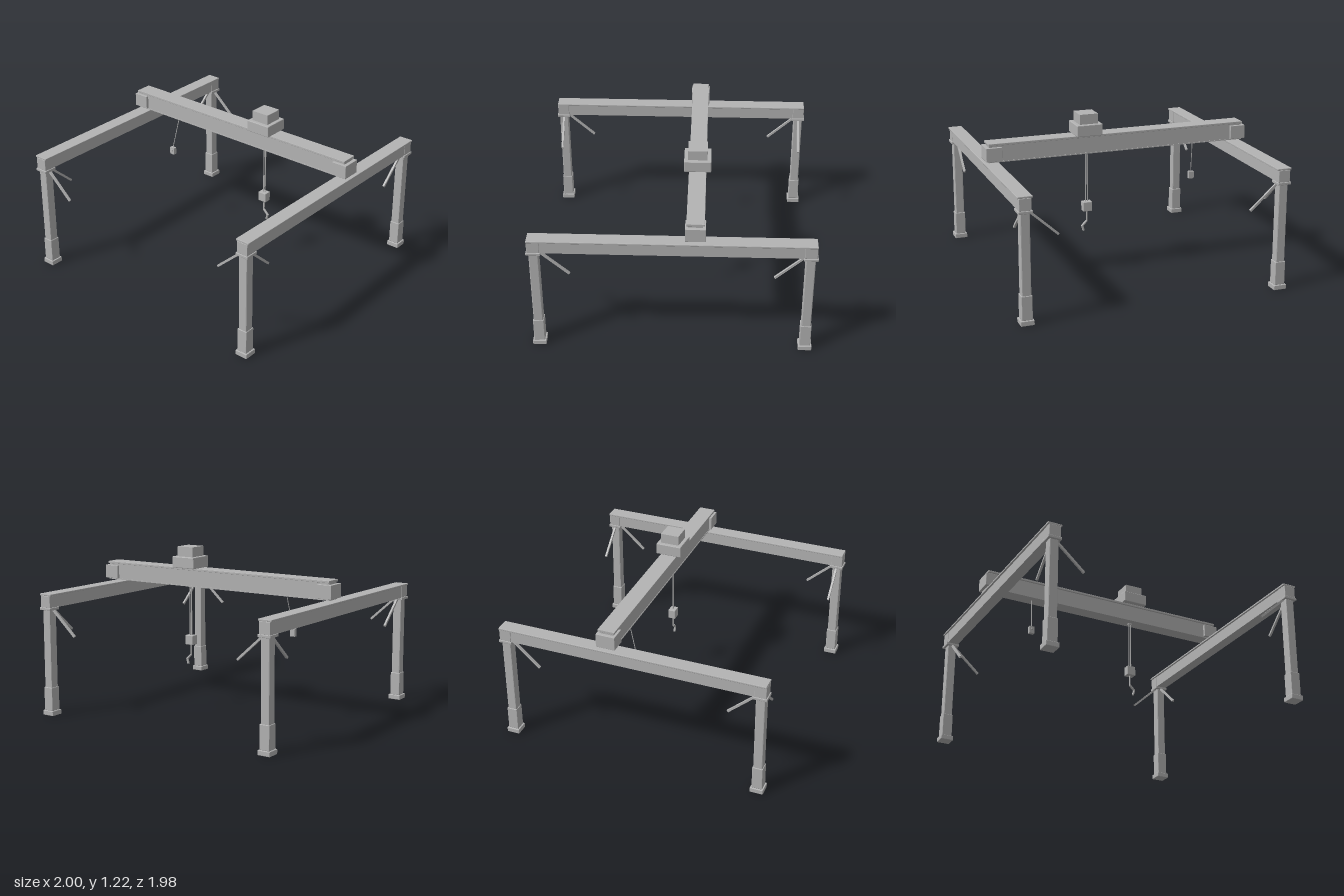
import * as THREE from 'three';
import { RoundedBoxGeometry } from 'three/addons/geometries/RoundedBoxGeometry.js';

const steel = new THREE.MeshStandardMaterial({ color: 0xb3b3b3 });
steel.name = 'steel grey';

// Box with optional chamfered edges
function box(parent, name, size, pos, chamfer = 0) {
  let geo;
  if (chamfer > 0) {
    geo = new RoundedBoxGeometry(...size, 1, chamfer);
    geo.computeVertexNormals();
  } else {
    geo = new THREE.BoxGeometry(...size);
  }
  const mesh = new THREE.Mesh(geo, steel);
  mesh.name = name;
  mesh.position.set(...pos);
  parent.add(mesh);
  return mesh;
}

// Round or square bar between two points
function bar(parent, name, from, to, radius, sides = 8) {
  const a = new THREE.Vector3(...from), b = new THREE.Vector3(...to);
  const dir = b.clone().sub(a);
  const geo = new THREE.CylinderGeometry(radius, radius, dir.length(), sides);
  if (sides === 4) geo.rotateY(Math.PI / 4);
  const mesh = new THREE.Mesh(sides === 4 ? geo.toNonIndexed() : geo, steel);
  if (sides === 4) mesh.geometry.computeVertexNormals();
  mesh.name = name;
  mesh.position.copy(a).add(b).multiplyScalar(0.5);
  mesh.quaternion.setFromUnitVectors(new THREE.Vector3(0, 1, 0), dir.normalize());
  parent.add(mesh);
  return mesh;
}

const COL = 0.942; // column offset in x and z
const BZ = -0.16;  // bridge position along the runway
const TX = 0.24;   // trolley position along the bridge

function column(sx, sz) {
  const g = new THREE.Group();
  g.name = 'column';
  g.position.set(sx * COL, 0, sz * COL);
  box(g, 'basePlate', [0.096, 0.036, 0.096], [0, 0.018, 0], 0.004);
  box(g, 'columnSleeve', [0.077, 0.175, 0.077], [0, 0.1225, 0], 0.004);
  box(g, 'columnShaft', [0.067, 0.60, 0.067], [0, 0.49, 0], 0.006);
  box(g, 'columnCap', [0.1, 0.02, 0.1], [0, 0.795, 0], 0.003);
  // knee braces pointing inward along both axes
  bar(g, 'kneeBraceAcross', [-sx * 0.03, 0.793, 0], [-sx * 0.237, 0.607, 0], 0.011, 4);
  bar(g, 'kneeBraceAlong', [0, 0.793, -sz * 0.03], [0, 0.607, -sz * 0.237], 0.011, 4);
  return g;
}

function runway(sx) {
  const g = new THREE.Group();
  g.name = 'runwayBeam';
  g.position.x = sx * COL;
  box(g, 'runwayWeb', [0.08, 0.09, 1.96], [0, 0.847, 0]);
  box(g, 'runwayTopFlange', [0.106, 0.014, 1.97], [0, 0.898, 0], 0.003);
  for (const sz of [-1, 1]) {
    box(g, 'runwayEndBlock', [0.087, 0.088, 0.087], [0, 0.847, sz * COL], 0.003);
  }
  return g;
}

function bridge() {
  const g = new THREE.Group();
  g.name = 'bridge';
  g.position.z = BZ;
  box(g, 'girderWeb', [1.95, 0.12, 0.1], [0, 0.988, 0]);
  box(g, 'girderTopFlange', [1.96, 0.016, 0.124], [0, 1.056, 0], 0.002);
  box(g, 'girderBottomFlange', [1.96, 0.008, 0.106], [0, 0.929, 0]);
  for (const sx of [-1, 1]) {
    box(g, 'endTruck', [0.116, 0.1, 0.14], [sx * 0.942, 0.985, 0], 0.002);
  }
  return g;
}

function hoist() {
  const g = new THREE.Group();
  g.name = 'hoist';
  g.position.set(TX, 0, BZ);
  box(g, 'trolley', [0.193, 0.084, 0.193], [0, 1.106, 0], 0.005);
  box(g, 'hoistHousing', [0.138, 0.074, 0.138], [0, 1.184, 0]);
  box(g, 'cableGuide', [0.03, 0.012, 0.02], [-0.002, 0.919, 0]);
  for (const dx of [-0.009, 0.005]) {
    bar(g, 'liftCable', [dx, 0.93, 0], [dx, 0.54, 0], 0.0045);
  }
  box(g, 'hookBlock', [0.068, 0.072, 0.056], [-0.003, 0.514, 0], 0.004);
  // hook made of bent bar segments
  bar(g, 'hookShank', [-0.003, 0.49, 0], [-0.003, 0.395, 0], 0.006);
  bar(g, 'hookBend', [-0.003, 0.4, 0], [0.034, 0.362, 0], 0.009);
  bar(g, 'hookTip', [0.034, 0.366, 0], [0.022, 0.326, 0], 0.009);
  return g;
}

function pendant() {
  const g = new THREE.Group();
  g.name = 'pendantControl';
  bar(g, 'pendantCable', [-0.602, 0.927, BZ], [-0.622, 0.67, -0.097], 0.003, 6);
  box(g, 'pendantBox', [0.04, 0.055, 0.027], [-0.622, 0.649, -0.099]);
  box(g, 'pendantButton', [0.012, 0.012, 0.009], [-0.622, 0.654, -0.082]);
  return g;
}

export function createModel() {
  const model = new THREE.Group();
  model.name = 'gantryCrane';
  for (const sx of [-1, 1]) {
    model.add(runway(sx));
    for (const sz of [-1, 1]) model.add(column(sx, sz));
  }
  model.add(bridge(), hoist(), pendant());
  return model;
}
